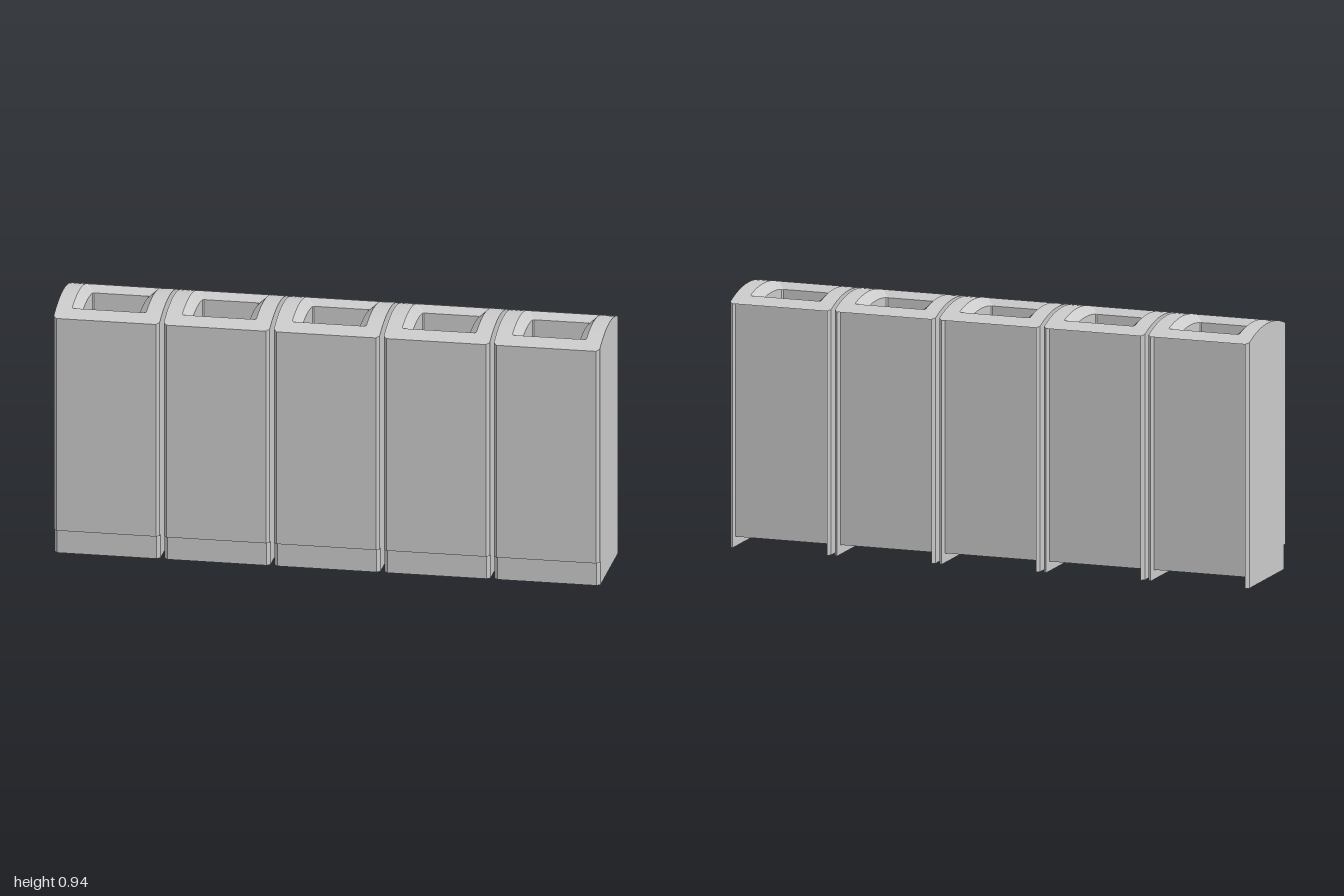
import * as THREE from 'three';
import { toCreasedNormals } from 'three/addons/utils/BufferGeometryUtils.js';

const COUNT = 5, PITCH = 0.403;
const HW = 0.194, HD = 0.196, CH = 0.012; // half width, half depth, corner chamfer
const RIM = 0.9, CROWN = 0.94;            // top edge and peak of the arched lid
const RECESS = 0.035, WALL = 0.012;       // back and underside are set in behind the walls
const FLOOR = 0.05;
const material = new THREE.MeshStandardMaterial({ color: 0xcccccc });

// height of the arched top at depth z
const radius = (HD * HD + (CROWN - RIM) ** 2) / (2 * (CROWN - RIM));
const arch = (z) => CROWN - radius + Math.sqrt(radius * radius - z * z);

// chamfered rectangle of points, running from +x towards +z
function ring(hx, hz, c, height, steps = 12) {
  const points = [];
  for (let side = 0; side < 4; side++) {
    const a = side * Math.PI / 2;
    const cos = Math.round(Math.cos(a)), sin = Math.round(Math.sin(a));
    const out = side % 2 ? hz : hx, along = (side % 2 ? hx : hz) - c;
    for (let i = 0; i <= steps; i++) {
      const t = along * (2 * i / steps - 1);
      const x = out * cos - t * sin, z = out * sin + t * cos;
      points.push([x, height(z), z]);
    }
  }
  return points;
}

// skin a list of equal rings
function loft(rings) {
  const n = rings[0].length, index = [];
  for (let r = 0; r < rings.length - 1; r++) {
    for (let i = 0; i < n; i++) {
      const j = (i + 1) % n, a = r * n, b = a + n;
      index.push(a + i, b + i, a + j, a + j, b + i, b + j);
    }
  }
  const geometry = new THREE.BufferGeometry();
  geometry.setAttribute('position', new THREE.Float32BufferAttribute(rings.flat(2), 3));
  geometry.setIndex(index);
  return toCreasedNormals(geometry, 0.4);
}

// arched lid with a funnel leading down into a square well
function lidGeometry() {
  const flat = (y) => () => y;
  const mouth = 0.136, throat = 0.104, c = 0.005;
  const rings = [
    ring(HW - 0.05, HD - 0.05, CH, flat(RIM)),
    ring(HW, HD, CH, flat(RIM)),
  ];
  for (let i = 0; i <= 4; i++) {
    const mix = (a, b) => a + (b - a) * i / 4;
    rings.push(ring(mix(HW, mouth), mix(HD, mouth), mix(CH, c), arch));
  }
  rings.push(
    ring(throat, throat, c, (z) => arch(z) - 0.03),
    ring(throat, throat, c, flat(FLOOR)),
    ring(0.006, 0.006, c, flat(FLOOR)),
    ring(0.0001, 0.0001, 0, flat(FLOOR)),
  );
  return loft(rings);
}

// U-shaped wall in plan, open at the back, between two heights
function wallGeometry(front, y0, y1) {
  const inX = HW - WALL, inZ = 0.168;
  const plan = [
    [-inX, -HD], [-HW, -HD + CH], [-HW, front - CH], [-HW + CH, front],
    [HW - CH, front], [HW, front - CH], [HW, -HD + CH], [inX, -HD],
    [inX, inZ], [-inX, inZ],
  ].map(([x, z]) => new THREE.Vector2(x, -z));
  const geometry = new THREE.ExtrudeGeometry(new THREE.Shape(plan), { depth: y1 - y0, bevelEnabled: false });
  return geometry.rotateX(-Math.PI / 2).translate(0, y0, 0);
}

function panelGeometry(w, h, d, y, z) {
  return new THREE.BoxGeometry(w, h, d).translate(0, y, z);
}

export function createModel() {
  const model = new THREE.Group();
  model.name = 'binRow';

  const innerW = 2 * (HW - WALL), backZ = -HD + RECESS, thick = 0.01;
  const parts = {
    lidAndWell: lidGeometry(),
    walls: wallGeometry(HD, 0.09, RIM),
    plinth: wallGeometry(0.18, 0, 0.09),
    backPanel: panelGeometry(innerW, RIM - RECESS, thick, (RIM + RECESS) / 2, backZ + thick / 2),
    bottomPanel: panelGeometry(innerW, thick, 0.168 - backZ, RECESS + thick / 2, (0.168 + backZ) / 2),
  };

  for (let i = 0; i < COUNT; i++) {
    const bin = new THREE.Group();
    bin.name = `bin${i + 1}`;
    bin.position.x = (i - (COUNT - 1) / 2) * PITCH;
    for (const [name, geometry] of Object.entries(parts)) {
      const mesh = new THREE.Mesh(geometry, material);
      mesh.name = name;
      bin.add(mesh);
    }
    model.add(bin);
  }
  return model;
}
